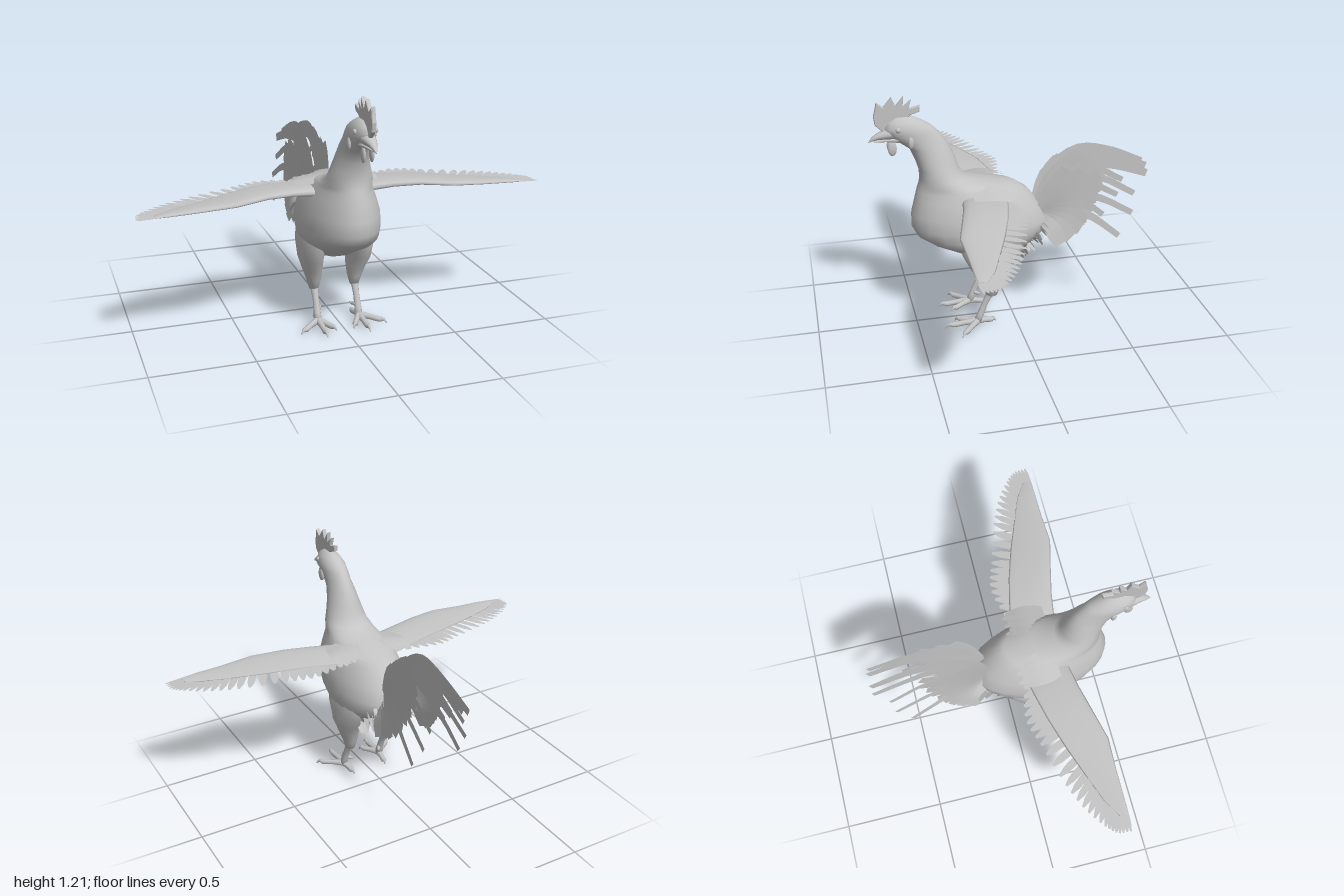
import * as THREE from 'three';

const V = (x, y, z) => new THREE.Vector3(x, y, z);
const grey = new THREE.MeshStandardMaterial({ color: 0xc4c4c4, side: THREE.DoubleSide });
grey.name = 'plain grey';

function mesh(name, geometry, parent) {
  const m = new THREE.Mesh(geometry, grey);
  m.name = name;
  parent.add(m);
  return m;
}

// Skin a list of equal-length closed rings, with capped ends
function loft(rings) {
  const n = rings[0].length, pos = [], idx = [];
  const mid = r => r.reduce((s, p) => s.add(p), V(0, 0, 0)).divideScalar(n);
  rings.forEach(r => r.forEach(p => pos.push(p.x, p.y, p.z)));
  for (let i = 0; i < rings.length - 1; i++) for (let j = 0; j < n; j++) {
    const a = i * n + j, b = i * n + (j + 1) % n;
    idx.push(a, a + n, b, b, a + n, b + n);
  }
  const first = rings.length * n, top = first - n;
  [mid(rings[0]), mid(rings.at(-1))].forEach(p => pos.push(p.x, p.y, p.z));
  for (let j = 0; j < n; j++) {
    const k = (j + 1) % n;
    idx.push(first, j, k, first + 1, top + k, top + j);
  }
  const g = new THREE.BufferGeometry();
  g.setAttribute('position', new THREE.Float32BufferAttribute(pos, 3));
  g.setIndex(idx);
  g.computeVertexNormals();
  return g;
}

// Oval ring around centre c spanned by half-axes u and v
function oval(c, u, v, n) {
  return Array.from({ length: n }, (_, j) => {
    const a = j / n * Math.PI * 2;
    return c.clone().addScaledVector(u, Math.cos(a)).addScaledVector(v, Math.sin(a));
  });
}

// Stack of level slices: [y, zBack, zFront, halfWidth, xCentre]
const slices = (rows, n) => loft(rows.map(([y, zb, zf, w, x = 0]) =>
  oval(V(x, y, (zb + zf) / 2), V(w, 0, 0), V(0, 0, (zf - zb) / 2), n)));

// Tapering round limb along a smooth path
function limb(points, radii, n = 8) {
  const curve = new THREE.CatmullRomCurve3(points), steps = (points.length - 1) * 3;
  const rings = [];
  for (let i = 0; i <= steps; i++) {
    const t = i / steps, k = t * (radii.length - 1), a = Math.min(Math.floor(k), radii.length - 2);
    const r = THREE.MathUtils.lerp(radii[a], radii[a + 1], k - a);
    const tan = curve.getTangent(t);
    const u = V(1, 0, 0).addScaledVector(tan, -tan.x);
    if (u.length() < 0.1) u.set(0, 0, 1);
    u.normalize();
    rings.push(oval(curve.getPoint(t), u.clone().multiplyScalar(r), u.clone().cross(tan).multiplyScalar(r), n));
  }
  return loft(rings);
}

// Flat feather: a ribbon along a path, facing the given normal
function feather(points, widths, normal, steps = 8) {
  const curve = new THREE.CatmullRomCurve3(points), pos = [], idx = [];
  for (let i = 0; i <= steps; i++) {
    const t = i / steps, k = t * (widths.length - 1), a = Math.min(Math.floor(k), widths.length - 2);
    const w = THREE.MathUtils.lerp(widths[a], widths[a + 1], k - a) / 2;
    const p = curve.getPoint(t), d = normal.clone().cross(curve.getTangent(t)).normalize();
    for (const s of [-w, w]) pos.push(p.x + d.x * s, p.y + d.y * s, p.z + d.z * s);
    if (i < steps) idx.push(2 * i, 2 * i + 2, 2 * i + 1, 2 * i + 1, 2 * i + 2, 2 * i + 3);
  }
  const g = new THREE.BufferGeometry();
  g.setAttribute('position', new THREE.Float32BufferAttribute(pos, 3));
  g.setIndex(idx);
  g.computeVertexNormals();
  return g;
}

function buildWing(parent) {
  const wing = new THREE.Group();
  wing.name = 'wing';
  // arm and covert surface: [x, y, zFront, zBack, halfThickness]
  const rows = [[.06, .69, .27, .06, .04], [.15, .71, .275, .05, .032], [.25, .72, .29, .07, .026],
    [.38, .725, .32, .1, .022], [.54, .715, .36, .15, .019], [.7, .705, .355, .21, .015],
    [.83, .7, .355, .26, .012], [.91, .696, .352, .31, .006]];
  mesh('wingArm', loft(rows.map(([x, y, zf, zb, h]) => oval(V(x, y, (zf + zb) / 2), V(0, 0, (zf - zb) / 2), V(0, h, 0), 16)
    // thick leading edge, thin trailing edge
    .map(p => { p.y = y + (p.y - y) * (0.25 + 0.75 * (p.z - zb) / (zf - zb)); return p; }))), wing);
  const path = rows => new THREE.CatmullRomCurve3(rows.map(([x, y, z]) => V(x, y, z)));
  const roots = path([[.17, .715, .22], [.28, .72, .22], [.42, .72, .25], [.58, .712, .28], [.7, .705, .3], [.78, .7, .32], [.82, .698, .335], [.84, .697, .345]]);
  const tips = path([[.2, .715, .03], [.36, .715, 0], [.5, .71, .04], [.7, .702, .1], [.84, .697, .16], [.94, .694, .23], [.985, .692, .28], [.993, .691, .342]]);
  const count = 26;
  for (let i = 0; i < count; i++) {
    const t = i / (count - 1), a = roots.getPoint(t), b = tips.getPoint(t);
    a.y += (i % 2) * .003;
    const w = THREE.MathUtils.lerp(.05, .022, t);
    mesh('flightFeather', feather([a, a.clone().lerp(b, .5), b], [w * .6, w, w, w, w * .9, w * .3], V(0, 1, 0.05), 10), wing);
  }
  // shoulder feathers over the back
  for (let k = 0; k < 6; k++) {
    const x = .07 + k * .022;
    mesh('shoulderFeather', feather([V(x, .757 - k * .004, .22), V(x + .01, .757 - k * .003, .12), V(x + .015, .735 - k * .003, .015 + (k % 2) * .02)],
      [.03, .05, .045, .015], V(.25, 1, 0)), wing);
  }
  parent.add(wing);
}

function buildLeg(parent) {
  const leg = new THREE.Group();
  leg.name = 'leg';
  mesh('thigh', slices([[.17, .1, .155, .022, .107], [.22, .08, .175, .036, .108], [.28, .055, .2, .05, .115],
    [.34, .025, .24, .06, .124], [.42, -.03, .28, .066, .122], [.5, -.05, .29, .062, .115], [.56, 0, .25, .04, .11]], 14), leg);
  mesh('shank', limb([V(.107, .21, .12), V(.107, .12, .165), V(.108, .03, .2)], [.022, .016, .02]), leg);
  mesh('spur', limb([V(.1, .08, .18), V(.085, .075, .16), V(.075, .08, .145)], [.012, .008, .001], 6), leg);
  // toes with downturned claws: tip x, tip z
  for (const [x, z] of [[.11, .37], [.045, .31], [.222, .3], [.095, .105]]) {
    const at = (t, y) => V(.108 + (x - .108) * t, y, .2 + (z - .2) * t);
    mesh('toe', limb([at(0, .028), at(.4, .025), at(.75, .02), at(.88, .024), at(1, .006)], [.018, .014, .014, .009, .002]), leg);
  }
  parent.add(leg);
}

function buildTailSide(parent) {
  const tail = new THREE.Group();
  tail.name = 'tailSide';
  const out = V(1, 0, 0);
  // long sickle feathers arching over the top
  mesh('sickleFeather', feather([V(.02, .59, -.14), V(.025, .75, -.23), V(.03, .845, -.36), V(.03, .835, -.5), V(.032, .765, -.688)],
    [.09, .13, .12, .09, .07, .05], out, 14), tail);
  mesh('sickleFeather', feather([V(.03, .59, -.14), V(.04, .75, -.22), V(.05, .83, -.36), V(.058, .81, -.5), V(.065, .745, -.685)],
    [.08, .12, .1, .07, .05, .04], out, 14), tail);
  // medium curved feathers: middle and tip (y, z), tip x
  for (const [my, mz, ty, tz, x] of [[.755, -.41, .65, -.615, .09], [.655, -.41, .555, -.6, .115], [.56, -.38, .44, -.53, .13]]) {
    mesh('curvedFeather', feather([V(.03, .58, -.14), V(.03 + (x - .03) * .5, (my + .58) / 2 + .035, -.26), V(x - .015, my, mz), V(x, ty, tz)],
      [.04, .06, .05, .035, .03], out, 10), tail);
  }
  // overlapping fan, top to bottom: tip (y, z)
  const fan = [[.83, -.27], [.81, -.36], [.785, -.45], [.72, -.45], [.66, -.43], [.6, -.405], [.54, -.375], [.49, -.34], [.45, -.29], [.42, -.23]];
  fan.forEach(([y, z], i) => {
    for (const layer of [0, 1]) {
      const x = .05 + i * .007 + layer * .025, s = 1 - layer * .07;
      const ty = .57 + (y - .57) * s, tz = -.13 + (z + .13) * s;
      mesh('fanFeather', feather([V(.03 + layer * .02, .57, -.12), V(x * .75 + .01, (ty + .57) / 2 + .02, (tz - .13) / 2), V(x, ty, tz)],
        [.03, .06, .08, .085, .06], out), tail);
    }
  });
  parent.add(tail);
}

export function createModel() {
  const bird = new THREE.Group();
  bird.name = 'rooster';

  // body, neck and head in one skin
  mesh('body', slices([[.33, .02, .14, .04], [.37, -.03, .24, .12], [.42, -.1, .33, .16], [.46, -.14, .42, .183], [.5, -.18, .48, .19],
    [.55, -.19, .505, .191], [.62, -.14, .505, .183], [.7, -.08, .485, .155], [.74, -.02, .475, .135], [.765, .12, .465, .12],
    [.8, .235, .457, .11], [.85, .265, .46, .095], [.9, .28, .475, .08], [.96, .305, .5, .066], [1, .33, .555, .058],
    [1.04, .36, .61, .06], [1.07, .39, .615, .058], [1.1, .44, .595, .044], [1.12, .48, .56, .02]], 28), bird);

  // beak: [z, y, halfWidth, halfHeight]
  const beak = rows => loft(rows.map(([z, y, w, h]) => oval(V(0, y, z), V(w, 0, 0), V(0, -h, 0), 12)).reverse());
  mesh('upperBeak', beak([[.56, 1.045, .042, .035], [.61, 1.04, .032, .025], [.65, 1.03, .02, .016], [.675, 1.018, .011, .01], [.692, 1.004, .002, .002]]), bird);
  mesh('lowerBeak', beak([[.55, 1.012, .035, .018], [.61, 1.012, .024, .01], [.665, 1.005, .005, .004]]), bird);

  // comb: outline as (z, y), with pointed teeth
  const outline = [[.53, 1.09], [.62, 1.055], [.655, 1.09], [.66, 1.13], [.65, 1.165], [.645, 1.195], [.615, 1.168], [.575, 1.215],
    [.558, 1.17], [.52, 1.215], [.525, 1.165], [.485, 1.197], [.5, 1.155], [.445, 1.168], [.448, 1.143], [.49, 1.13]];
  const comb = new THREE.ExtrudeGeometry(new THREE.Shape(outline.map(([z, y]) => new THREE.Vector2(-z, y))),
    { depth: .012, bevelEnabled: true, bevelThickness: .004, bevelSize: .003, bevelSegments: 1 });
  comb.translate(0, 0, -.006).rotateY(Math.PI / 2);
  mesh('comb', comb, bird);

  // one side, then its mirror
  for (const s of [1, -1]) {
    const side = new THREE.Group();
    side.name = s > 0 ? 'leftSide' : 'rightSide';
    side.scale.x = s;
    const blob = (name, x, y, z, a, b, c) => {
      const m = mesh(name, new THREE.SphereGeometry(1, 14, 10), side);
      m.position.set(x, y, z);
      m.scale.set(a, b, c);
    };
    blob('eye', .05, 1.07, .553, .009, .013, .013);
    blob('wattle', .02, .972, .583, .01, .038, .022);
    blob('earlobe', .056, 1.005, .497, .01, .03, .014);
    buildWing(side);
    buildLeg(side);
    buildTailSide(side);
    bird.add(side);
  }

  // shaggy fluff beneath the rump
  let seed = 7;
  const rand = () => (seed = (seed * 16807) % 2147483647) / 2147483647;
  for (let r = 0; r < 9; r++) for (let c = 0; c < 11; c++) {
    const t = r / 8, x = (c / 10 - .5) * .22 + (rand() - .5) * .02;
    const p = V(x, .37 + t * .16 + Math.abs(x) * .1, .02 - t * .19 + Math.abs(x) * .25);
    const q = p.clone().add(V((rand() - .5) * .04, -.045 - rand() * .02, -.03 - rand() * .02));
    mesh('fluff', feather([p, p.clone().lerp(q, .5), q], [.02, .026, .012], V(rand() - .5, -.5, -.8), 3), bird);
  }
  return bird;
}
